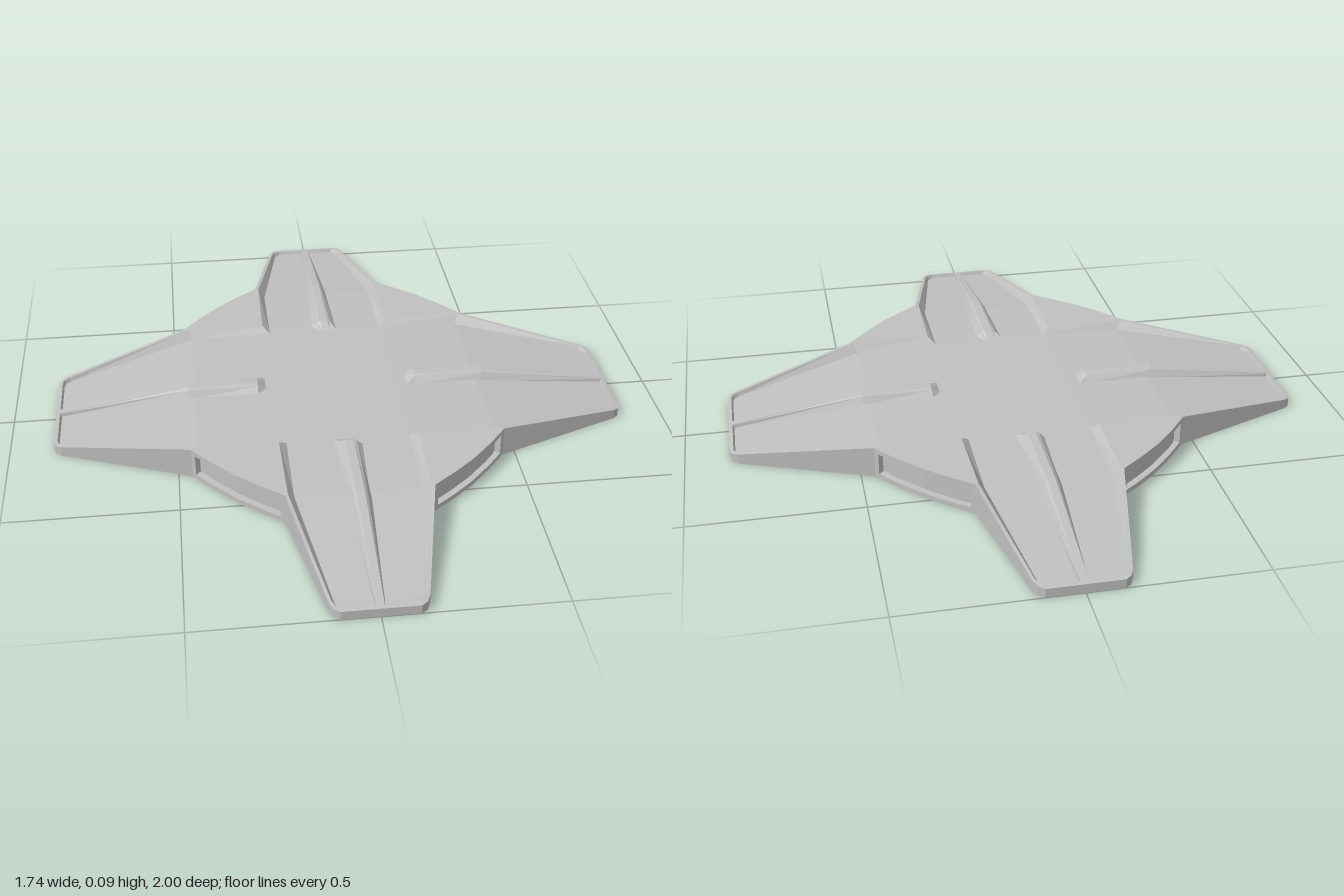
import * as THREE from 'three';

// Outline of one quadrant, from the side arm tip round to the front arm tip: [x, y, z]
const OUTLINE = [
  [0.868, 0.027, 0], [0.868, 0.027, 0.165], [0.862, 0.028, 0.183], [0.845, 0.031, 0.196],
  [0.46, 0.095, 0.345], [0.45, 0.095, 0.358], [0.405, 0.095, 0.413], [0.34, 0.095, 0.483],
  [0.275, 0.095, 0.54], [0.222, 0.095, 0.581], [0.21, 0.095, 0.592],
  [0.132, 0.032, 0.965], [0.122, 0.029, 0.988], [0.105, 0.027, 1], [0, 0.027, 1],
];
// Inner edge of the raised rim; the five equal points make the corner pad
const PAD = [0.205, 0.095, 0.337];
const RIM = [
  [0.857, 0.029, 0], [0.857, 0.029, 0.16], [0.852, 0.03, 0.176], [0.838, 0.032, 0.187],
  [0.452, 0.095, 0.337], PAD, PAD, PAD, PAD, PAD, [0.201, 0.095, 0.585],
  [0.124, 0.033, 0.962], [0.115, 0.031, 0.98], [0.1, 0.029, 0.989], [0, 0.029, 0.989],
];
// Foot of the rim, on the sunken deck
const FOOT = [
  [0.852, 0.018, 0], [0.852, 0.018, 0.157], [0.847, 0.0185, 0.172], [0.834, 0.02, 0.182],
  [0.44, 0.07, 0.315], [0.182, 0.075, 0.315], [0.182, 0.075, 0.315], [0.182, 0.075, 0.315],
  [0.182, 0.075, 0.315], [0.182, 0.075, 0.315], [0.182, 0.07, 0.57],
  [0.116, 0.02, 0.957], [0.108, 0.0185, 0.975], [0.097, 0.018, 0.984], [0, 0.018, 0.984],
];
const WIN_A = 5, WIN_B = 9; // outline points between which the port opens
const SILL = 0.015, HEAD = 0.08;

const atY = (pts, y) => pts.map(([x, , z]) => [x, y, z]);

// Quads between two rows of points
function strip(a, b) {
  const quads = [];
  for (let i = 0; i < a.length - 1; i++) quads.push([a[i], a[i + 1], b[i + 1], b[i]]);
  return quads;
}

// Flat shaded geometry from quads, mirrored into all four quadrants
function mirrored(quads) {
  const pos = [];
  for (const sx of [1, -1]) for (const sz of [1, -1]) {
    for (const q of quads) {
      const p = q.map(([x, y, z]) => [x * sx, y, z * sz]);
      if (sx * sz < 0) p.reverse();
      pos.push(...p[0], ...p[1], ...p[2], ...p[0], ...p[2], ...p[3]);
    }
  }
  const g = new THREE.BufferGeometry();
  g.setAttribute('position', new THREE.Float32BufferAttribute(pos, 3));
  g.computeVertexNormals();
  return g;
}

// Half ridge along +z: rows are [distance, base half width, top half width, base y, top y]
function ridgeQuads(rows) {
  const base = rows.map(([d, w, , y]) => [w, y, d]);
  const shoulder = rows.map(([d, w, t, y, h]) => [t + (w - t) * 0.35, y + (h - y) * 0.8, d]);
  const top = rows.map(([d, , t, , h]) => [t, h, d]);
  const mid = rows.map(([d, , , , h]) => [0, h, d]);
  return [...strip(base, shoulder), ...strip(shoulder, top), ...strip(top, mid)]
    .map((q) => q.reverse());
}

export function createModel() {
  const model = new THREE.Group();
  model.name = 'fourArmedPlatform';
  const grey = new THREE.MeshStandardMaterial({ color: 0xc0c0c0 });
  grey.name = 'light grey';
  const add = (name, geometry) => {
    const mesh = new THREE.Mesh(geometry, grey);
    mesh.name = name;
    model.add(mesh);
  };

  // Raised rim with corner pads, and its inner slope
  add('rimAndCornerPads', mirrored(strip(RIM, OUTLINE)));
  add('rimInnerSlope', mirrored(strip(FOOT, RIM)));

  // Outer walls, left open at the corner ports
  const ground = atY(OUTLINE, 0);
  const port = OUTLINE.slice(WIN_A, WIN_B + 1);
  const lower = atY(port, SILL), upper = atY(port, HEAD);
  add('outerWalls', mirrored([
    ...strip(OUTLINE.slice(0, WIN_A + 1), ground.slice(0, WIN_A + 1)),
    ...strip(OUTLINE.slice(WIN_B), ground.slice(WIN_B)),
    ...strip(port, upper),
    ...strip(lower, atY(port, 0)),
  ]));

  // Recessed ports with a raised inner panel
  const inset = (pts, d) => pts.map(([x, y, z]) => [x - d * 0.7, y, z - d * 0.7]);
  const backLow = inset(lower, 0.02), backHigh = inset(upper, 0.02);
  const n = port.length - 1;
  add('portRecesses', mirrored([
    ...strip(backHigh, backLow), ...strip(backLow, lower), ...strip(upper, backHigh),
    [upper[0], backHigh[0], backLow[0], lower[0]],
    [backHigh[n], upper[n], lower[n], backLow[n]],
  ]));
  const inner = port.map((p) => [...p]);
  inner[0] = [0.435, 0, 0.376];
  inner[n] = [0.24, 0, 0.567];
  const panel = (d, y) => inset(atY(inner, y), d);
  add('portPanels', mirrored([
    ...strip(panel(0.012, 0.071), panel(0.012, 0.024)),
    ...strip(panel(0.02, 0.071), panel(0.012, 0.071)),
    ...strip(panel(0.012, 0.024), panel(0.02, 0.024)),
  ]));

  // Sunken deck: centre and the arms
  const cx = [0, 0.075, 0], cz = [0, 0.075, 0.315];
  const sideMid = [3, 4, 5].map((i) => [FOOT[i][0], FOOT[i][1], 0]);
  const frontMid = [9, 10, 11].map((i) => [0, FOOT[i][1], FOOT[i][2]]);
  add('deck', mirrored([
    [cx, cz, FOOT[5], sideMid[2]],
    ...strip(sideMid, FOOT.slice(3, 6)).map((q) => q.reverse()).map((q) => q.reverse()),
    ...strip(frontMid, FOOT.slice(9, 12)),
    [FOOT[0], sideMid[0], FOOT[3], FOOT[2]], [FOOT[0], FOOT[2], FOOT[1], FOOT[1]],
    [frontMid[2], FOOT[14], FOOT[13], FOOT[12]], [frontMid[2], FOOT[12], FOOT[11], FOOT[11]],
  ].map((q) => {
    // turn every deck face upward
    const [a, b, c] = q.map((p) => new THREE.Vector3(...p));
    return b.sub(a).cross(c.sub(a)).y < 0 ? [...q].reverse() : q;
  })));

  // Ridges down the middle of each arm
  const frontRows = [[0.315, 0.042, 0.004, 0.075, 0.075], [0.345, 0.04, 0.013, 0.073, 0.094],
    [0.59, 0.034, 0.012, 0.064, 0.094], [0.99, 0.013, 0.01, 0.016, 0.029]];
  const sideRows = [[0.22, 0.045, 0.004, 0.075, 0.075], [0.245, 0.043, 0.013, 0.072, 0.094],
    [0.46, 0.036, 0.012, 0.065, 0.094], [0.858, 0.013, 0.01, 0.016, 0.029]];
  add('frontAndBackRidges', mirrored(ridgeQuads(frontRows)));
  add('sideRidges', mirrored(ridgeQuads(sideRows)
    .map((q) => q.map(([x, y, z]) => [z, y, x]).reverse())));

  // Flat underside
  const centre = ground.map(() => [0, 0, 0]);
  add('underside', mirrored(strip(ground, centre)));
  return model;
}
